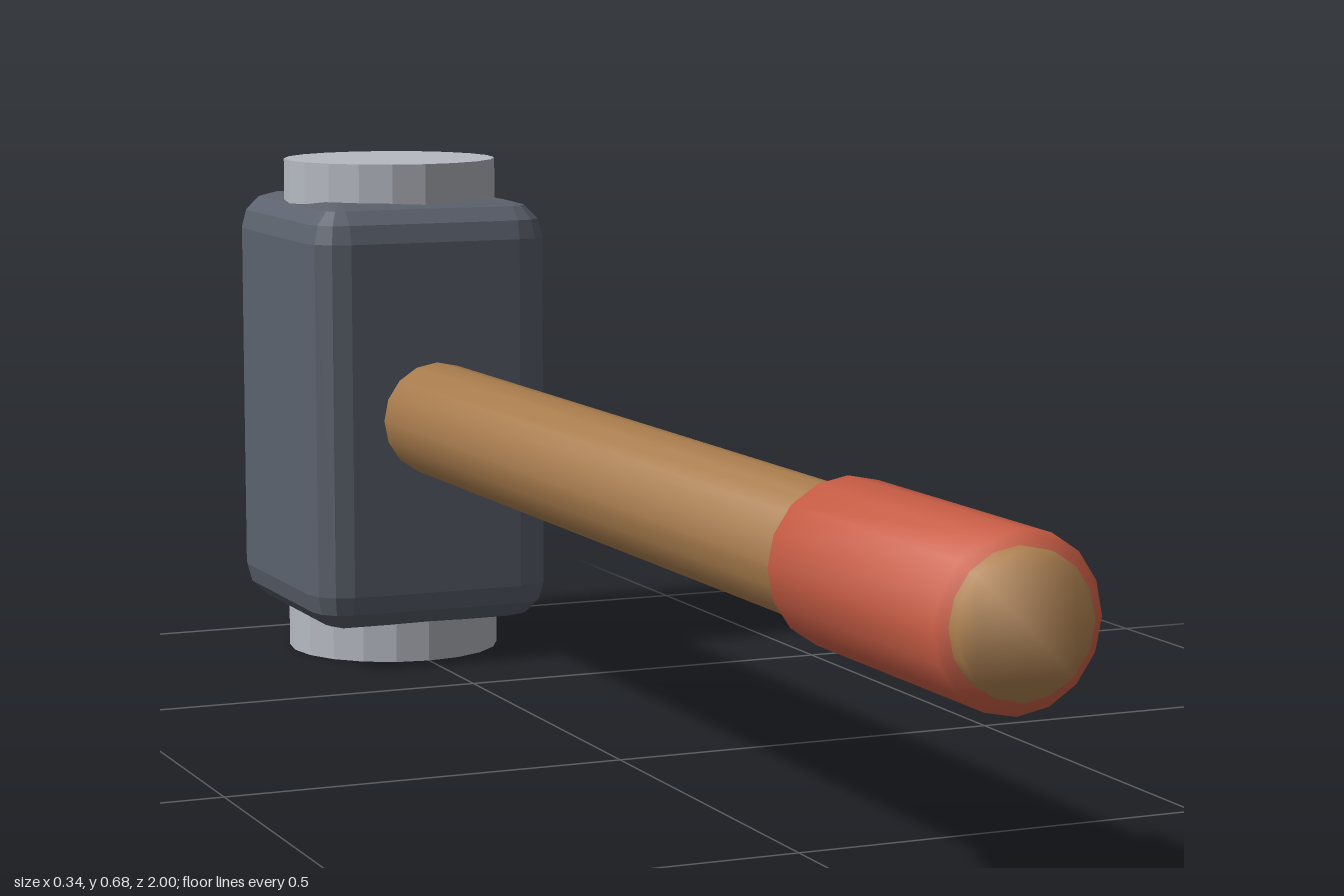
import * as THREE from 'three';
import { ConvexGeometry } from 'three/addons/geometries/ConvexGeometry.js';

const material = (name, color, flatShading = false) => {
  const m = new THREE.MeshStandardMaterial({ color, flatShading });
  m.name = name;
  return m;
};

// Block with faceted, rounded edges: convex hull of eight sphere octants
function bevelledBlock(w, h, d, r, steps) {
  const points = [];
  for (const sx of [-1, 1]) for (const sy of [-1, 1]) for (const sz of [-1, 1])
    for (let i = 0; i <= steps; i++) for (let j = 0; j <= steps; j++) {
      const a = (i / steps) * Math.PI / 2, b = (j / steps) * Math.PI / 2;
      points.push(new THREE.Vector3(
        sx * (w / 2 - r + r * Math.cos(a) * Math.cos(b)),
        sy * (h / 2 - r + r * Math.sin(a)),
        sz * (d / 2 - r + r * Math.cos(a) * Math.sin(b))));
    }
  return new ConvexGeometry(points);
}

// Rod along z whose normals are smoothed over the rims of its end caps
function smoothRod(radius, z0, z1, sides) {
  const ring = [];
  for (let i = 0; i < sides; i++) {
    const a = (i / sides) * Math.PI * 2;
    ring.push(new THREE.Vector2(radius * Math.cos(a), radius * Math.sin(a)));
  }
  const g = new THREE.ExtrudeGeometry(new THREE.Shape(ring), { depth: z1 - z0, bevelEnabled: false });
  const p = g.attributes.position, n = new THREE.Vector3();
  for (let i = 0; i < p.count; i++) {
    const end = p.getZ(i) > (z1 - z0) / 2 ? 1 : -1;
    n.set(p.getX(i) / radius, p.getY(i) / radius, 0.9 * end).normalize();
    g.attributes.normal.setXYZ(i, n.x, n.y, n.z);
  }
  return g.translate(0, 0, z0);
}

export function createModel() {
  const model = new THREE.Group();
  model.name = 'sledgehammer';
  const iron = material('dark iron', 0x5c626d, true);
  const steel = material('pale steel', 0xb6bac2, true);
  const wood = material('wood', 0xbb8a56);
  const rubber = material('red rubber', 0xdb664c);

  const add = (name, geometry, mat, x = 0, y = 0, z = 0) => {
    const mesh = new THREE.Mesh(geometry, mat);
    mesh.name = name;
    mesh.position.set(x, y, z);
    model.add(mesh);
  };

  const midY = 0.34, headZ = -0.815;

  // Head block and its two striking faces
  add('head', bevelledBlock(0.34, 0.576, 0.37, 0.05, 3), iron, 0, midY, headZ);
  const disc = new THREE.CylinderGeometry(0.145, 0.145, 0.07, 20);
  add('upperStrikingFace', disc, steel, 0, 0.645, headZ);
  add('lowerStrikingFace', disc, steel, 0, 0.035, headZ);

  // Handle and grip sleeve
  add('handle', smoothRod(0.076, -0.66, 1, 16), wood, 0, midY, 0);
  add('grip', smoothRod(0.093, 0.612, 0.983, 16), rubber, 0, midY, 0);

  return model;
}
